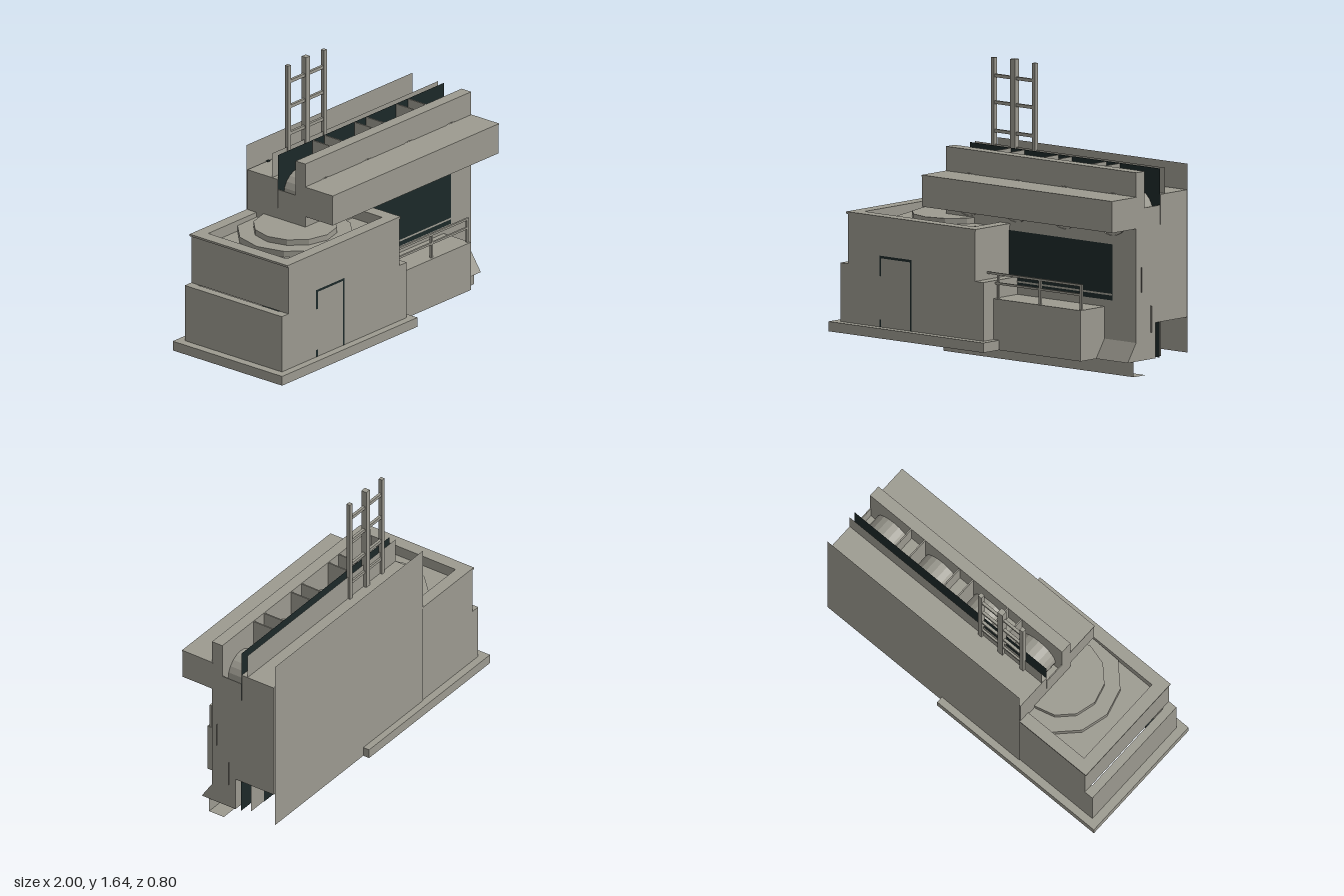
import * as THREE from 'three';

const concrete = new THREE.MeshStandardMaterial({ color: 0x9c9a90, side: THREE.DoubleSide, flatShading: true });
concrete.name = 'concrete grey';
const dark = new THREE.MeshStandardMaterial({ color: 0x1c2828, side: THREE.DoubleSide, flatShading: true });
dark.name = 'dark slate';

export function createModel() {
  const model = new THREE.Group();
  model.name = 'building';

  const add = (name, geometry, material = concrete) => {
    const mesh = new THREE.Mesh(geometry, material);
    mesh.name = name;
    model.add(mesh);
    return mesh;
  };

  // Box given by its limits on each axis; open leaves out the underside
  const box = (name, x0, x1, y0, y1, z0, z1, material = concrete, open = false) => {
    const g = new THREE.BoxGeometry(x1 - x0, y1 - y0, z1 - z0);
    if (open) {
      const index = Array.from(g.index.array);
      index.splice(18, 6);
      g.setIndex(index);
      g.clearGroups();
    }
    g.translate((x0 + x1) / 2, (y0 + y1) / 2, (z0 + z1) / 2);
    return add(name, g, material);
  };

  // Thin upright sheet facing the front
  const sheet = (name, x0, x1, y0, y1, z, material = concrete) => {
    const g = new THREE.PlaneGeometry(x1 - x0, y1 - y0);
    g.translate((x0 + x1) / 2, (y0 + y1) / 2, z);
    return add(name, g, material);
  };

  // Flat rectangular ring lying in the ground plane
  const ring = (name, o, i, y0, y1, material = concrete) => {
    const rect = (C, [x0, x1, z0, z1]) => new C([
      new THREE.Vector2(x0, -z0), new THREE.Vector2(x1, -z0),
      new THREE.Vector2(x1, -z1), new THREE.Vector2(x0, -z1)]);
    const shape = rect(THREE.Shape, o);
    shape.holes.push(rect(THREE.Path, i));
    const g = new THREE.ExtrudeGeometry(shape, { depth: y1 - y0, bevelEnabled: false });
    g.rotateX(-Math.PI / 2).translate(0, y0, 0);
    return add(name, g, material);
  };

  // Side block: hollow plinth, stepped walls and roof basin
  ring('plinth', [-1, 0.15, -0.4, 0.4], [-0.95, 0.11, -0.35, 0.35], 0.085, 0.14);
  ring('lowerBlockWalls', [-0.95, 0.11, -0.355, 0.355], [-0.9, 0.05, -0.3, 0.3], 0.13, 0.47);
  ring('upperBlockWalls', [-0.895, 0.05, -0.355, 0.355], [-0.83, -0.02, -0.287, 0.287], 0.47, 0.75);
  ring('blockRim', [-0.905, 0.055, -0.358, 0.358], [-0.83, -0.02, -0.287, 0.287], 0.75, 0.762);
  box('basinFloor', -0.84, -0.01, 0.67, 0.7, -0.3, 0.3);

  // Dark frame with blocks inside the foundation
  ring('foundationFrame', [-0.9, 0.05, -0.3, 0.3], [-0.84, -0.01, -0.24, 0.24], 0.14, 0.18, dark);
  for (const x of [-0.87, -0.425, 0.02]) {
    for (const z of [-0.27, 0.27]) box('foundationBlock', x - 0.03, x + 0.03, 0.125, 0.185, z - 0.03, z + 0.03, dark);
  }

  // Stepped round cover, cut off by the basin sides
  const disc = (name, r, y0, y1) => {
    const g = new THREE.CylinderGeometry(r, r, y1 - y0, 12);
    g.rotateY(Math.PI / 2);
    const p = g.attributes.position;
    for (let i = 0; i < p.count; i++) p.setZ(i, THREE.MathUtils.clamp(p.getZ(i), -0.285, 0.285));
    g.translate(-0.425, (y0 + y1) / 2, 0);
    add(name, g);
  };
  disc('outerCover', 0.325, 0.69, 0.735);
  disc('innerCover', 0.235, 0.73, 0.768);

  // Door outline
  const strip = (x0, x1, y0, y1) => sheet('doorOutline', x0, x1, y0, y1, 0.3565, dark);
  strip(-0.66, -0.647, 0.425, 0.54);
  strip(-0.66, -0.42, 0.526, 0.54);
  strip(-0.433, -0.42, 0.14, 0.54);
  strip(-0.66, -0.647, 0.14, 0.182);

  // Main hall, open at the lower rear
  box('hall', -0.42, 0.99, 0.285, 0.83, -0.352, 0.07);
  box('hallLower', 0.1, 0.99, 0.085, 0.285, -0.09, 0.07, concrete, true);
  box('rearRoof', -0.42, 0.99, 0.83, 1, -0.352, -0.133);
  box('overhang', -0.42, 0.99, 0.83, 1.005, 0, 0.27);
  box('overhangLip', -0.422, 0.992, 1, 1.008, 0.065, 0.273);

  // Partitions in the open lower rear
  sheet('darkPartition', 0.1, 0.988, 0.085, 0.285, -0.125, dark);
  sheet('partition', 0.1, 0.96, 0.085, 0.285, -0.173);
  sheet('partitionPanel', 0.1, 0.84, 0.085, 0.285, -0.176, dark);

  // Tall back wall, rear parapet with its dark lining, footing
  sheet('backWall', -0.42, 0.99, 0.085, 1.145, -0.36);
  sheet('rearParapet', -0.42, 0.99, 1, 1.145, -0.172);
  sheet('parapetLining', -0.42, 0.99, 0.83, 1.145, -0.131, dark);
  sheet('footingFace', -0.42, 0.99, 0, 0.085, 0.09);
  const sole = new THREE.PlaneGeometry(1.41, 0.1);
  sole.rotateX(-Math.PI / 2).translate(0.285, 0, 0.04);
  add('footingSole', sole);
  box('frontParapet', -0.42, 0.99, 1, 1.145, 0, 0.07);

  // Roof trough with barrel vents and dividers
  for (const x of [-0.42, 0.984]) box('troughEnd', x, x + 0.006, 0.83, 0.94, -0.13, 0);
  for (let i = 0; i < 4; i++) {
    const x = -0.25 + i * 0.355;
    const barrel = new THREE.CylinderGeometry(0.12, 0.12, 0.208, 20, 1, true);
    barrel.rotateX(Math.PI / 2).translate(x, 0.895, -0.026);
    add('barrelVent', barrel);
    box('roofSocket', x - 0.01, x + 0.01, 1, 1.004, -0.355, -0.34, dark);
    if (i < 3) {
      for (const s of [0.125, 0.225]) box('ventDivider', x + s, x + s + 0.008, 0.83, 1.143, -0.13, 0);
      box('dividerFloor', x + 0.125, x + 0.233, 0.98, 1, -0.13, 0);
    }
  }

  // Small slots below the overhang
  for (const x of [-0.21, 0.09, 0.385, 0.535, 0.83]) sheet('slot', x - 0.015, x + 0.015, 0.803, 0.827, 0.0715, dark);

  // Front window
  sheet('window', 0.05, 0.815, 0.41, 0.725, 0.0715, dark);
  sheet('windowSill', 0.05, 0.815, 0.437, 0.447, 0.073);

  // Balcony and its railing
  box('balcony', 0.1, 0.755, 0.085, 0.37, 0.06, 0.27, concrete, true);
  for (const x of [0.13, 0.44, 0.745]) box('railPost', x - 0.007, x + 0.007, 0.37, 0.51, 0.245, 0.257);
  for (const y of [0.455, 0.508]) box('rail', 0.05, 0.752, y - 0.006, y + 0.006, 0.245, 0.257);

  // Sloping skirt beside the balcony
  const wedge = new THREE.Shape([
    new THREE.Vector2(-0.07, 0.085), new THREE.Vector2(-0.07, 0.19), new THREE.Vector2(-0.14, 0.085)]);
  const skirt = new THREE.ExtrudeGeometry(wedge, { depth: 0.235, bevelEnabled: false });
  skirt.rotateY(Math.PI / 2).translate(0.755, 0, 0);
  add('skirt', skirt);

  // Slim fittings on the end wall
  sheet('endFitting', 0.988, 1, 0.47, 0.61, 0.031);
  sheet('endFitting', 0.988, 1, 0.235, 0.385, -0.05);

  // Roof mast frame
  for (const [x, w, top] of [[-0.283, 0.024, 1.63], [-0.13, 0.034, 1.637], [0.022, 0.024, 1.63]]) {
    box('mast', x - w / 2, x + w / 2, 1, top, -0.175 - w / 2, -0.175 + w / 2);
  }
  for (const y of [1.1, 1.22, 1.38, 1.53]) box('mastBar', -0.283, 0.022, y - 0.009, y + 0.009, -0.183, -0.167);

  return model;
}
